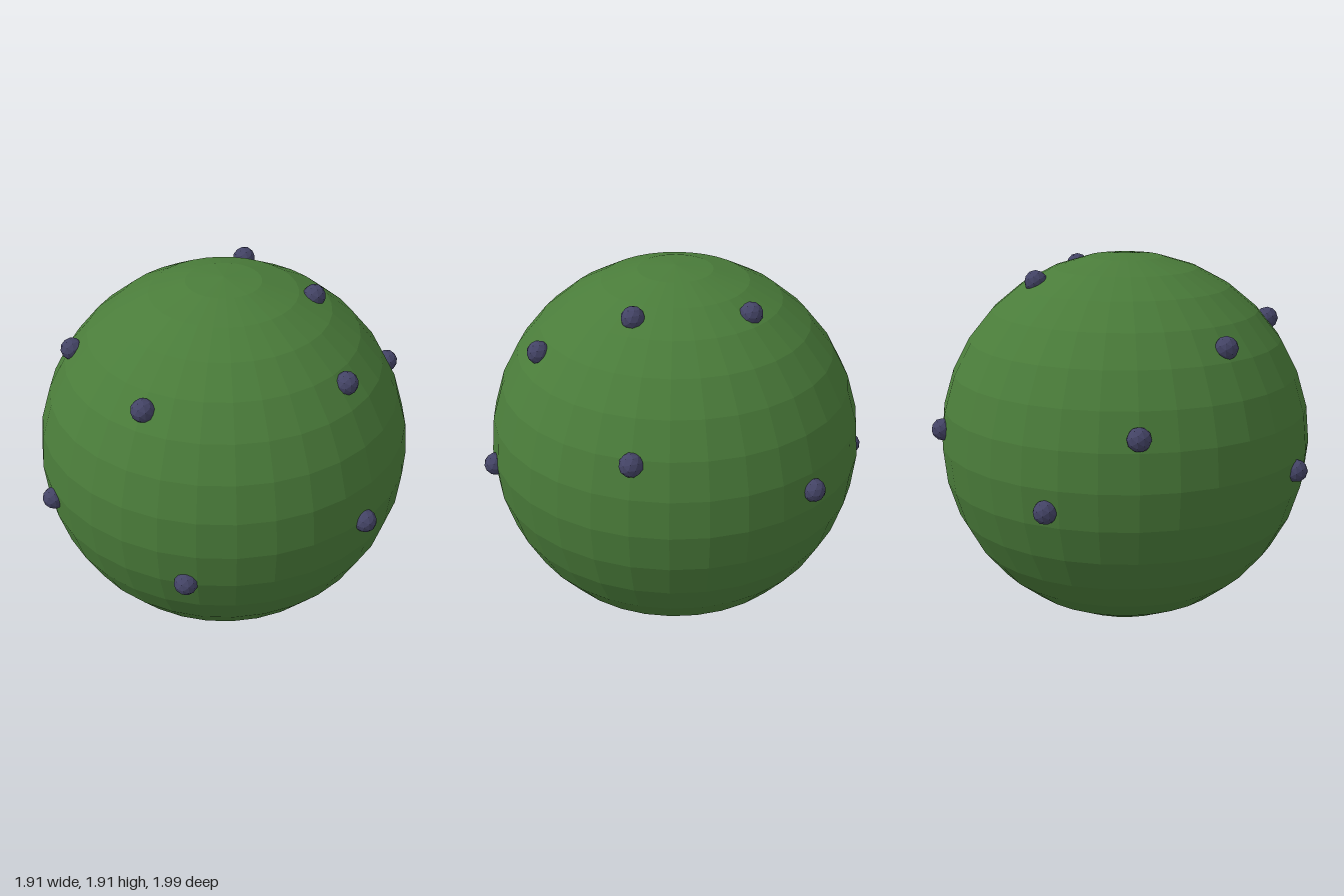
import * as THREE from 'three';

const R = 0.957; // body radius
const KNOB = 0.0575; // knob radius

export function createModel() {
  const model = new THREE.Group();
  model.name = 'studdedSphere';

  const green = new THREE.MeshStandardMaterial({ color: 0x4a7c3a, flatShading: true });
  const indigo = new THREE.MeshStandardMaterial({ color: 0x444466, flatShading: true });

  // Faceted body
  const body = new THREE.Mesh(new THREE.SphereGeometry(R, 32, 16), green);
  body.name = 'body';

  const ball = new THREE.Group();
  ball.name = 'ball';
  ball.position.set(0, R, -0.014);
  ball.add(body);

  // Knobs half sunk in the surface, given as directions from the centre
  const directions = [
    [-0.055, -0.005, 0.955], [0.05, 0.63, 0.72], [0.30, 0.85, 0.325],
    [0.42, 0.845, -0.226], [0.75, 0.35, 0.50], [-0.73, 0.62, 0.15],
    [-0.81, -0.18, 0.475], [0.88, 0.10, -0.365], [0.25, -0.11, -0.92],
    [-0.18, 0.25, -0.91], [-0.54, 0.59, -0.526], [-0.89, -0.05, -0.35],
  ];
  const knobGeometry = new THREE.IcosahedronGeometry(KNOB, 1);
  directions.forEach((d, i) => {
    const knob = new THREE.Mesh(knobGeometry, indigo);
    knob.name = `knob${i + 1}`;
    knob.position.set(...d).setLength(R);
    ball.add(knob);
  });

  model.add(ball);
  return model;
}
